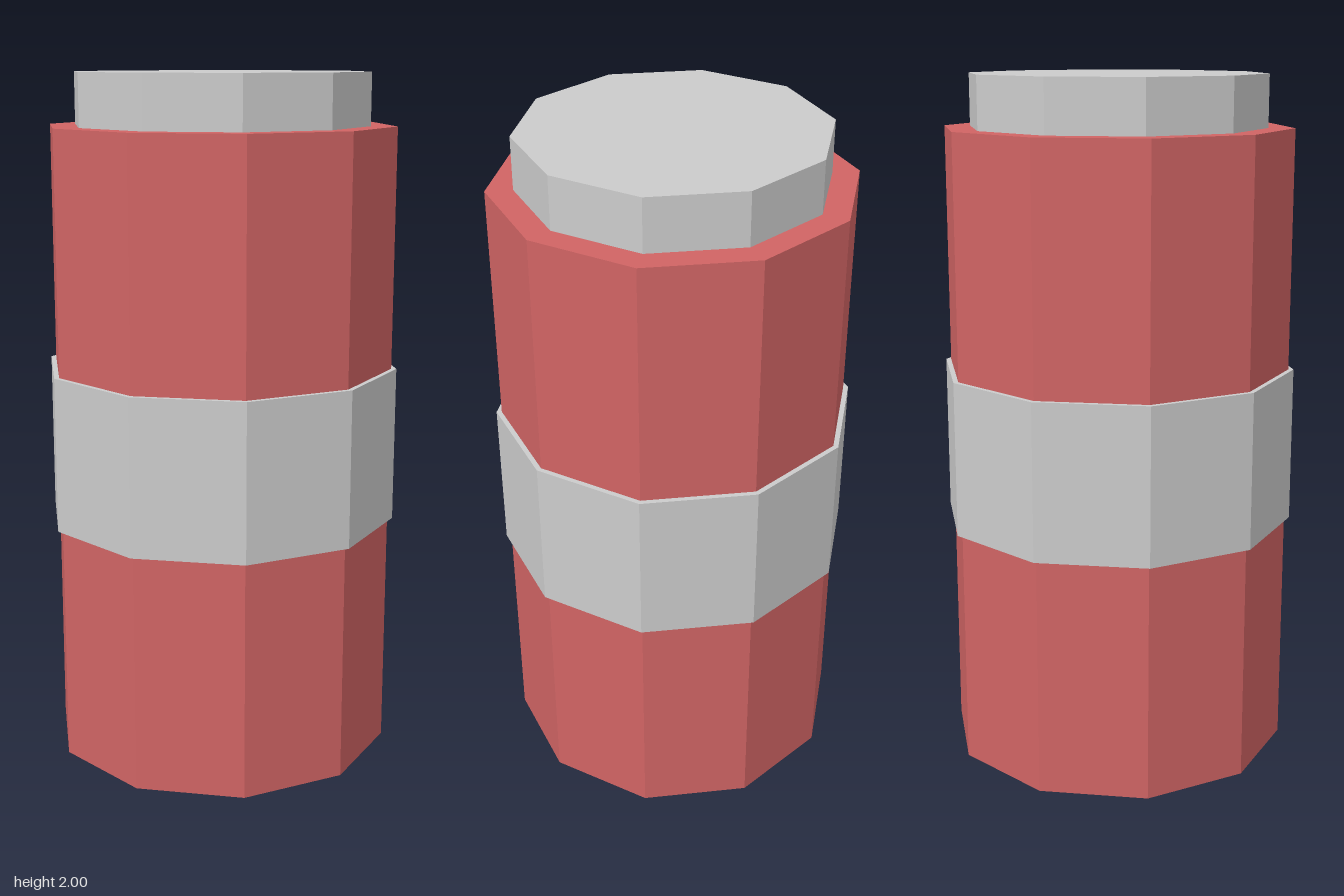
import * as THREE from 'three';

const SIDES = 10;

export function createModel() {
  const group = new THREE.Group();
  group.name = 'canister';

  const red = new THREE.MeshStandardMaterial({ color: 0xd06464, flatShading: true });
  const grey = new THREE.MeshStandardMaterial({ color: 0xcccccc, flatShading: true });

  // Ten-sided prism standing between two heights, one corner facing +z
  function addPrism(name, radius, bottom, top, material) {
    const height = top - bottom;
    const mesh = new THREE.Mesh(new THREE.CylinderGeometry(radius, radius, height, SIDES), material);
    mesh.name = name;
    mesh.position.y = bottom + height / 2;
    group.add(mesh);
  }

  addPrism('body', 0.507, 0, 1.85, red);
  // Wide label band wrapped around the middle
  addPrism('band', 0.522, 0.7, 1.155, grey);
  // Narrower lid on top
  addPrism('cap', 0.431, 1.85, 2, grey);

  return group;
}
